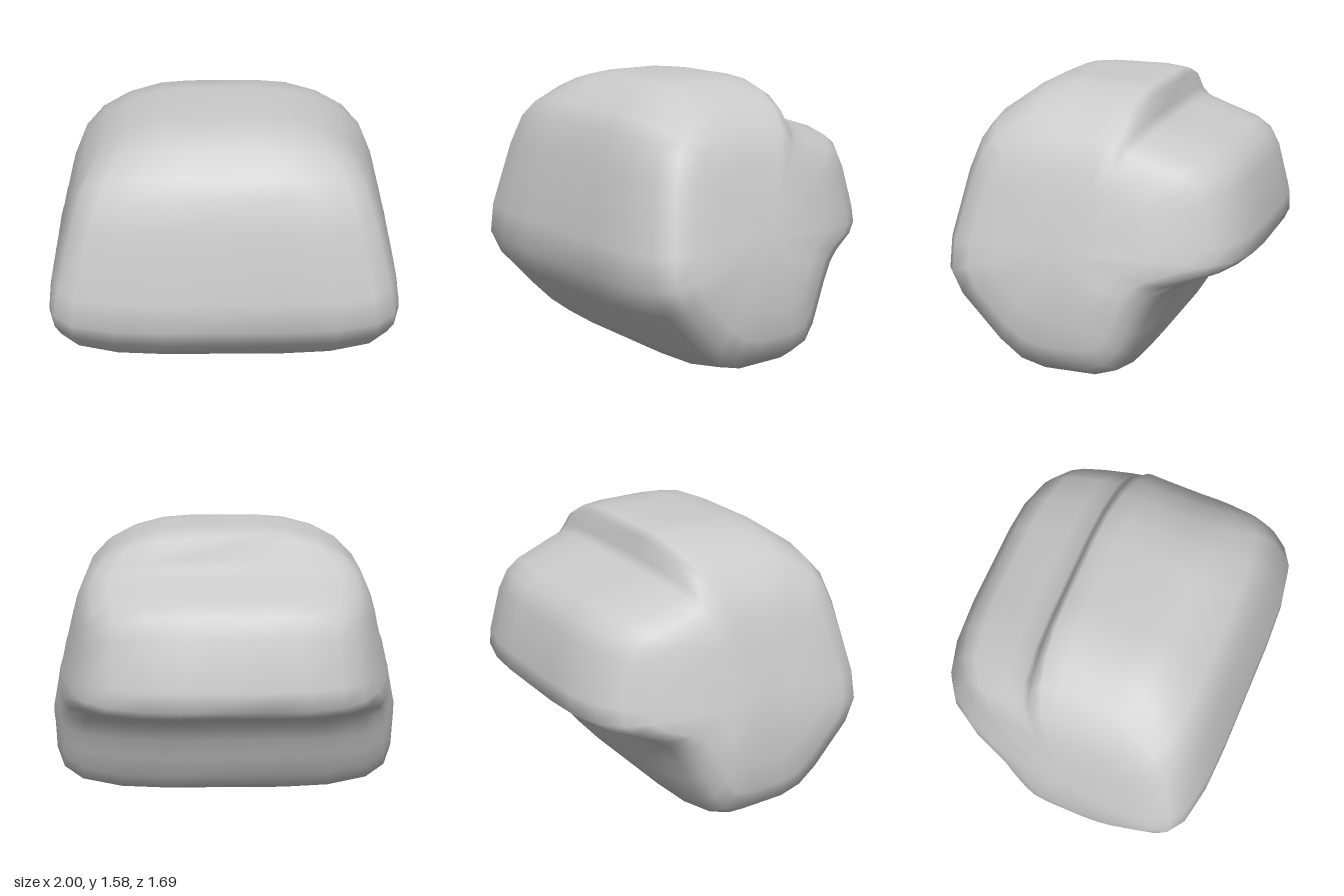
import * as THREE from 'three';
import { mergeVertices } from 'three/addons/utils/BufferGeometryUtils.js';

// Side profile as [z, y], counterclockwise seen from +x
const PROFILE = [
  [0.24, 0], [-0.08, 0], [-0.21, 0.04], [-0.29, 0.14], [-0.35, 0.28], [-0.4, 0.4], [-0.47, 0.52],
  [-0.56, 0.58], [-0.77, 0.65], [-0.845, 0.71], [-0.845, 0.82], [-0.78, 1.09], [-0.72, 1.2],
  [-0.63, 1.26], [-0.4, 1.33], [-0.29, 1.37], [-0.255, 1.42], [-0.24, 1.53], [-0.2, 1.565],
  [-0.08, 1.58], [0.24, 1.58], [0.38, 1.565], [0.48, 1.52], [0.62, 1.42], [0.69, 1.33],
  [0.75, 1.15], [0.84, 0.75], [0.845, 0.56], [0.77, 0.41], [0.52, 0.14], [0.39, 0.04],
];
const CENTRE = [0.1, 0.8];

// Half width by height, and how it narrows towards the back
const WIDTH_BY_Y = [[0, 1], [0.55, 1], [0.75, 0.96], [1.17, 0.85], [1.33, 0.79], [1.42, 0.72], [1.53, 0.6], [1.58, 0.56]];
const NARROW_BY_Z = [[-0.85, 0.73], [-0.74, 0.8], [-0.52, 0.9], [-0.36, 0.95], [-0.1, 1], [0.85, 1]];

// Rounded side: [share of half width, scale of profile], from the side's middle inwards
const RINGS = [[1, 0], [1, 0.25], [1, 0.5], [0.99, 0.7], [0.955, 0.84], [0.85, 0.93], [0.62, 0.985], [0.35, 1]];

function lookup(table, t) {
  for (let i = 1; i < table.length; i++) {
    const [t0, v0] = table[i - 1], [t1, v1] = table[i];
    if (t <= t1) return v0 + (v1 - v0) * Math.max(0, (t - t0) / (t1 - t0));
  }
  return table[table.length - 1][1];
}

function bodyGeometry() {
  // Rings run from the left side over the middle to the right side
  const rings = [...RINGS, ...RINGS.map(([f, s]) => [-f, s]).reverse()];
  const n = PROFILE.length, positions = [], index = [];
  for (const [f, s] of rings) {
    for (const [pz, py] of PROFILE) {
      const z = CENTRE[0] + (pz - CENTRE[0]) * s;
      const y = CENTRE[1] + (py - CENTRE[1]) * s;
      positions.push(f * lookup(WIDTH_BY_Y, y) * lookup(NARROW_BY_Z, z), y, z);
    }
  }
  for (let k = 0; k < rings.length - 1; k++) {
    for (let i = 0; i < n; i++) {
      const a = k * n + i, b = k * n + (i + 1) % n, c = a + n, d = b + n;
      if (k < rings.length - 2) index.push(a, c, d);
      if (k > 0) index.push(a, d, b);
      if (k === rings.length - 2) continue;
    }
  }
  const geometry = new THREE.BufferGeometry();
  geometry.setAttribute('position', new THREE.Float32BufferAttribute(positions, 3));
  geometry.setIndex(index);
  const merged = mergeVertices(geometry);
  merged.computeVertexNormals();
  return merged;
}

export function createModel() {
  const group = new THREE.Group();
  const body = new THREE.Mesh(bodyGeometry(), new THREE.MeshStandardMaterial({ color: 0xcccccc }));
  body.name = 'body';
  group.add(body);
  return group;
}
